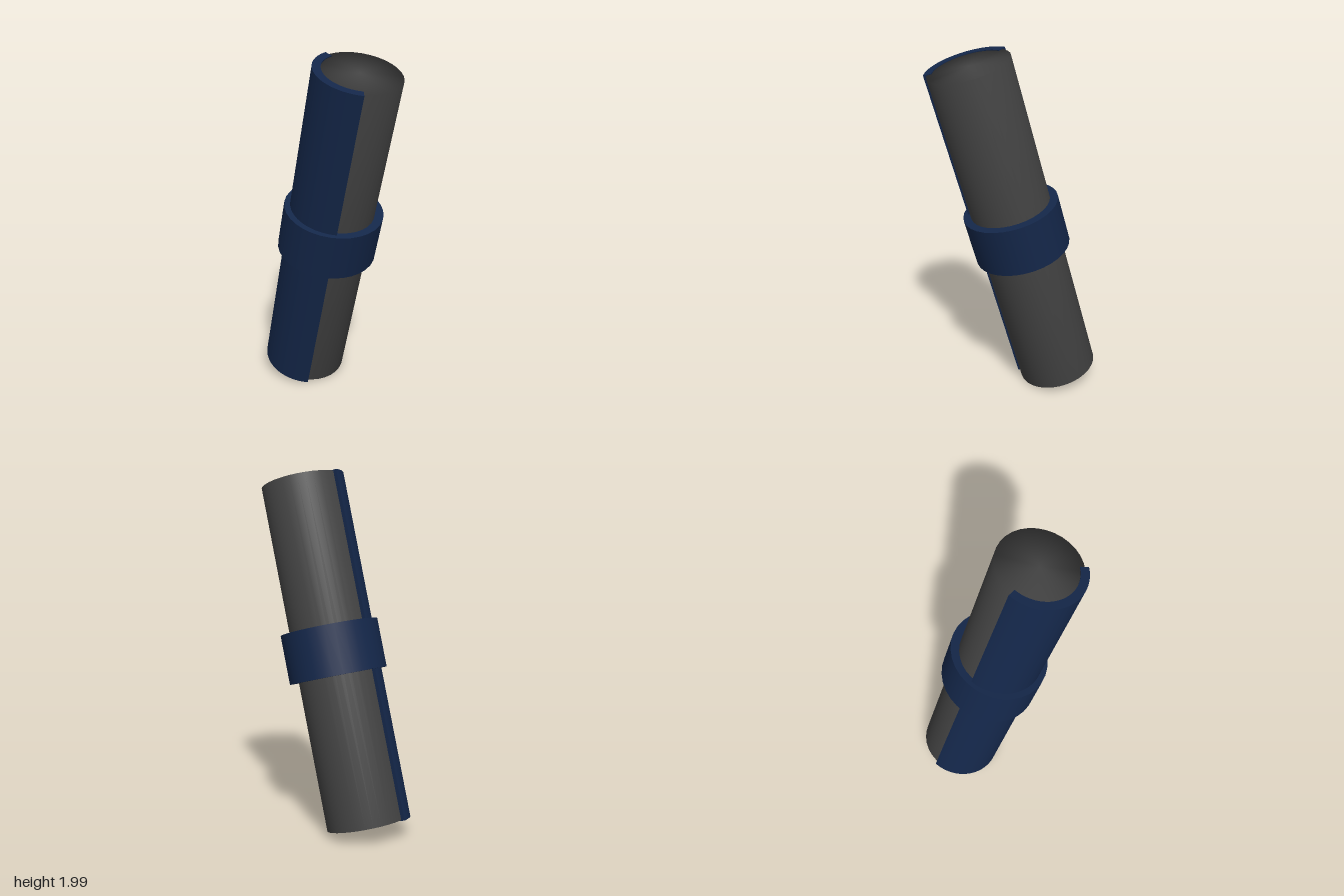
import * as THREE from 'three';

const LENGTH = 1.945;
const BODY_R = 0.224;

// Ring sector standing upright along y, centred on the origin
function sleeve(inner, outer, from, to, height, segments) {
  const shape = new THREE.Shape();
  shape.absarc(0, 0, outer, from, to, false);
  shape.absarc(0, 0, inner, to, from, true);
  shape.closePath();
  const geo = new THREE.ExtrudeGeometry(shape, { depth: height, bevelEnabled: false, curveSegments: segments });
  geo.translate(0, 0, -height / 2);
  geo.rotateX(-Math.PI / 2);
  return geo;
}

export function createModel() {
  const model = new THREE.Group();
  model.name = 'tiltedCylinder';
  const grey = new THREE.MeshStandardMaterial({ color: 0x444444 });
  const navy = new THREE.MeshStandardMaterial({ color: 0x14274a });
  const add = (name, geometry, material) => {
    const mesh = new THREE.Mesh(geometry, material);
    mesh.name = name;
    model.add(mesh);
    return mesh;
  };

  // Solid core, softly shaded over its closed ends
  const h = LENGTH / 2 - 0.004;
  const profile = [[0, -h], [BODY_R, -h], [BODY_R, h], [0, h]].map(([x, y]) => new THREE.Vector2(x, y));
  add('body', new THREE.LatheGeometry(profile, 32), grey);

  // Partial shell wrapped around the right side
  const deg = Math.PI / 180;
  add('sideShell', sleeve(0.198, 0.243, 104.5 * deg, 242 * deg, LENGTH, 24), navy);

  // Collar around the middle: outer wall, flat ends and inner wall, with sharp edges
  const a = 0.279, b = 0.215, c = 0.1375;
  const collar = new THREE.Group();
  collar.name = 'collar';
  [
    ['collarOuterWall', [a, -c], [a, c]],
    ['collarTop', [a, c], [b, c]],
    ['collarInnerWall', [b, c], [b, -c]],
    ['collarBottom', [b, -c], [a, -c]],
  ].forEach(([name, p, q]) => {
    const geo = new THREE.LatheGeometry([new THREE.Vector2(...p), new THREE.Vector2(...q)], 32);
    const mesh = new THREE.Mesh(geo, navy);
    mesh.name = name;
    collar.add(mesh);
  });
  collar.scale.z = 0.957;
  model.add(collar);

  // Lean towards the front, with a trace of sideways tilt
  model.rotation.set(16 * deg, 0, -0.006);
  model.position.y = 1;

  const root = new THREE.Group();
  root.name = 'model';
  root.add(model);
  return root;
}
